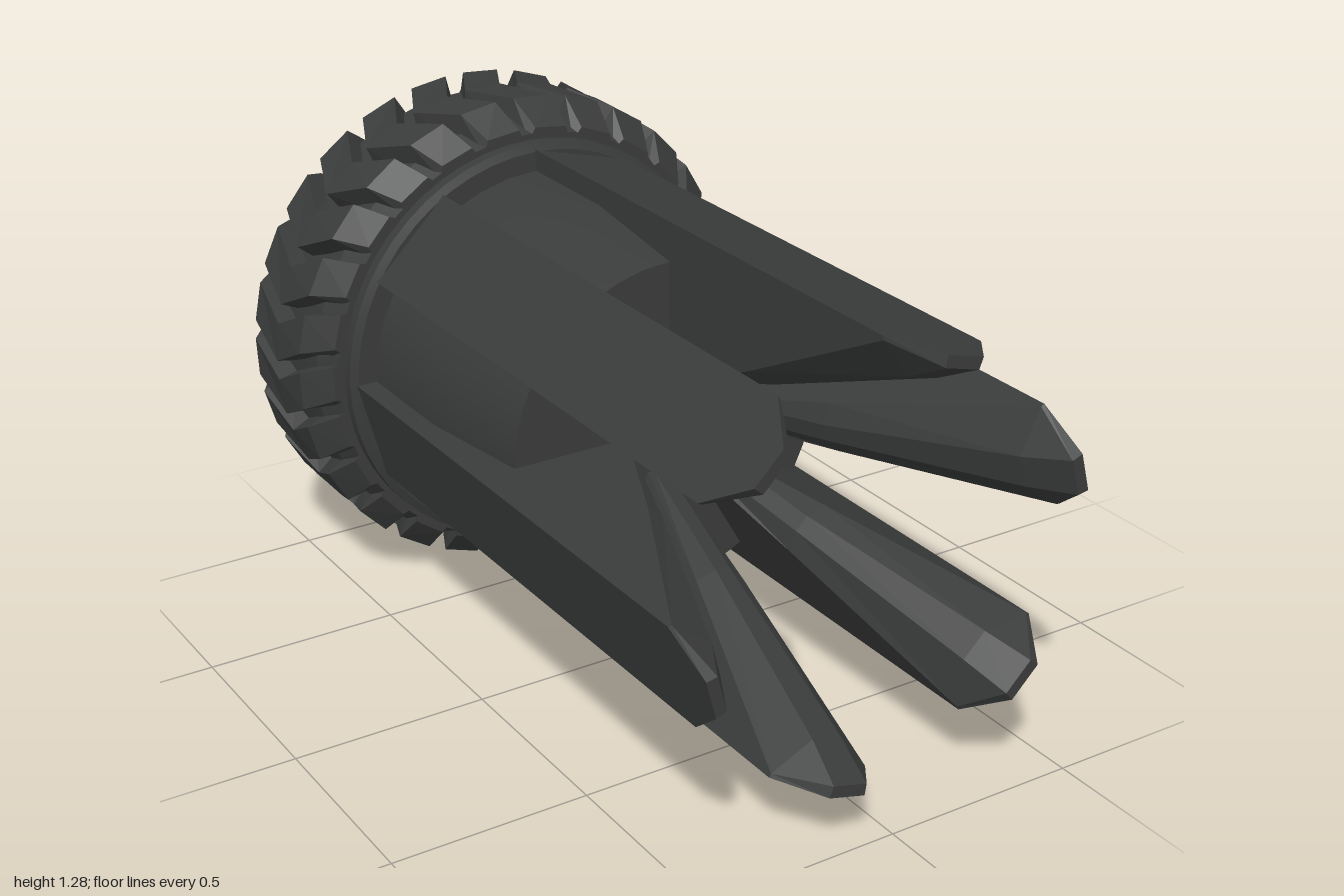
import * as THREE from 'three';
import { toCreasedNormals } from 'three/addons/utils/BufferGeometryUtils.js';

const AXIS_Y = 0.64;
const dark = new THREE.MeshStandardMaterial({ color: 0x3a3c3b, flatShading: true });
const darkSmooth = new THREE.MeshStandardMaterial({ color: 0x3a3c3b });
const yellow = new THREE.MeshStandardMaterial({ color: 0xffdd11, flatShading: true });
const rad = THREE.MathUtils.degToRad;

function add(parent, name, geometry, material) {
  const mesh = new THREE.Mesh(geometry, material);
  mesh.name = name;
  parent.add(mesh);
  return mesh;
}

// Skin through closed cross-sections (counter-clockwise seen from +z, z increasing), capped
function loft(sections) {
  const out = [];
  const tri = (...pts) => pts.forEach((p) => out.push(...p));
  const n = sections[0].length;
  for (let s = 0; s < sections.length - 1; s++) {
    const a = sections[s], b = sections[s + 1];
    for (let i = 0; i < n; i++) {
      const j = (i + 1) % n;
      tri(a[i], a[j], b[j]);
      tri(a[i], b[j], b[i]);
    }
  }
  const first = sections[0], last = sections[sections.length - 1];
  for (let i = 1; i < n - 1; i++) {
    tri(first[0], first[i + 1], first[i]);
    tri(last[0], last[i], last[i + 1]);
  }
  const g = new THREE.BufferGeometry();
  g.setAttribute('position', new THREE.Float32BufferAttribute(out, 3));
  g.computeVertexNormals();
  return g;
}

// Profile of [radius, z] turned around the z axis
function turned(profile, segments) {
  const g = new THREE.LatheGeometry(profile.map((p) => new THREE.Vector2(...p)), segments);
  return toCreasedNormals(g.rotateX(Math.PI / 2), rad(20));
}

// Point on the chord across a 30 degree sector
function chord(r, t, z) {
  const c = Math.cos(Math.PI / 6), s = Math.sin(Math.PI / 6);
  return [r * (1 - t + t * c), r * t * s, z];
}

// Wedge blade: flat outside, ridged inner face that thins to a clipped tip
function bladeGeometry() {
  // z, inner radius at edges, inner radius at middle
  const stations = [[-0.58, 0.12, 0.12], [0.07, 0.12, 0.12], [0.4, 0.27, 0.24], [0.89, 0.52, 0.44], [1, 0.5, 0.5]];
  return loft(stations.map(([z, edge, mid]) => {
    const lo = z === 1 ? 0.32 : 0, hi = 1 - lo;
    const ts = [lo, 0.32, 0.68, hi];
    const outer = ts.map((t) => chord(0.53, t, z));
    const inner = ts.map((t, i) => chord(i === 0 || i === 3 ? edge : mid, t, z)).reverse();
    return [...outer, ...inner];
  }));
}

// Chevron tread lug with sloping flanks
function lugGeometry(step) {
  // z, top radius, angular shift
  const stations = [[-1, 0.575, 0], [-0.935, 0.64, 0.045], [-0.8, 0.64, 0.15], [-0.665, 0.64, 0.045], [-0.6, 0.575, 0]];
  return loft(stations.map(([z, r, shift]) => {
    const p = (radius, a) => [radius * Math.cos(a + shift), radius * Math.sin(a + shift), z];
    return [p(0.54, -step * 0.46), p(r, -step * 0.33), p(r, step * 0.33), p(0.54, step * 0.46)];
  }));
}

export function createModel() {
  const group = new THREE.Group();
  const body = new THREE.Group();
  body.name = 'body';
  body.position.y = AXIS_Y;
  group.add(body);

  // Tyre carcass with a deep rear socket, plus the collar in front of it
  add(body, 'tyreAndCollar', turned([
    [0, -0.62], [0.25, -0.62], [0.26, -0.94], [0.3, -0.985], [0.555, -0.985], [0.59, -0.93],
    [0.59, -0.67], [0.56, -0.6], [0.545, -0.6], [0.545, -0.57], [0.525, -0.56], [0, -0.56],
  ], 52), darkSmooth);

  // Chevron lugs
  const lugs = 26;
  const lug = lugGeometry((Math.PI * 2) / lugs);
  for (let i = 0; i < lugs; i++) {
    add(body, 'treadLug', lug, dark).rotation.z = (i / lugs) * Math.PI * 2;
  }

  // Hub drum between the blades
  add(body, 'hub', turned([
    [0.475, -0.57], [0.475, -0.25], [0.43, 0.07], [0, 0.07],
  ], 36), darkSmooth);

  // Six blades, each filling half of its sector
  const blade = bladeGeometry();
  for (let i = 0; i < 6; i++) {
    add(body, 'blade', blade, dark).rotation.z = (i * Math.PI) / 3;
  }

  // Two small pyramids on the outside of the left blade
  const side = new THREE.Group();
  side.name = 'sideMarkers';
  side.rotation.z = rad(15);
  body.add(side);
  const turn = new THREE.Matrix4().makeBasis(
    new THREE.Vector3(0, 0, 1), new THREE.Vector3(1, 0, 0), new THREE.Vector3(0, 1, 0));
  const pyramid = new THREE.ConeGeometry(0.072, 0.03, 3).applyMatrix4(turn);
  for (const z of [0.47, -0.3]) {
    add(side, 'sidePyramid', pyramid, yellow).position.set(0.526, -0.085, z);
  }

  // Pyramid on the rear face
  const rear = new THREE.ConeGeometry(0.095, 0.025, 3).rotateX(-Math.PI / 2).rotateZ(rad(50));
  add(body, 'rearPyramid', rear, yellow).position.set(0.39, 0.24, -0.9875);

  // Four-lobed knob on the rear face
  const knob = new THREE.Group();
  knob.name = 'rearKnob';
  knob.position.set(-0.41, -0.27, -0.985);
  knob.rotation.z = rad(10);
  body.add(knob);
  const lobe = new THREE.SphereGeometry(1, 10, 8).scale(0.042, 0.026, 0.015).translate(0.045, 0, 0);
  for (let i = 0; i < 4; i++) {
    add(knob, 'knobLobe', lobe, yellow).rotation.z = (i * Math.PI) / 2;
  }
  return group;
}
